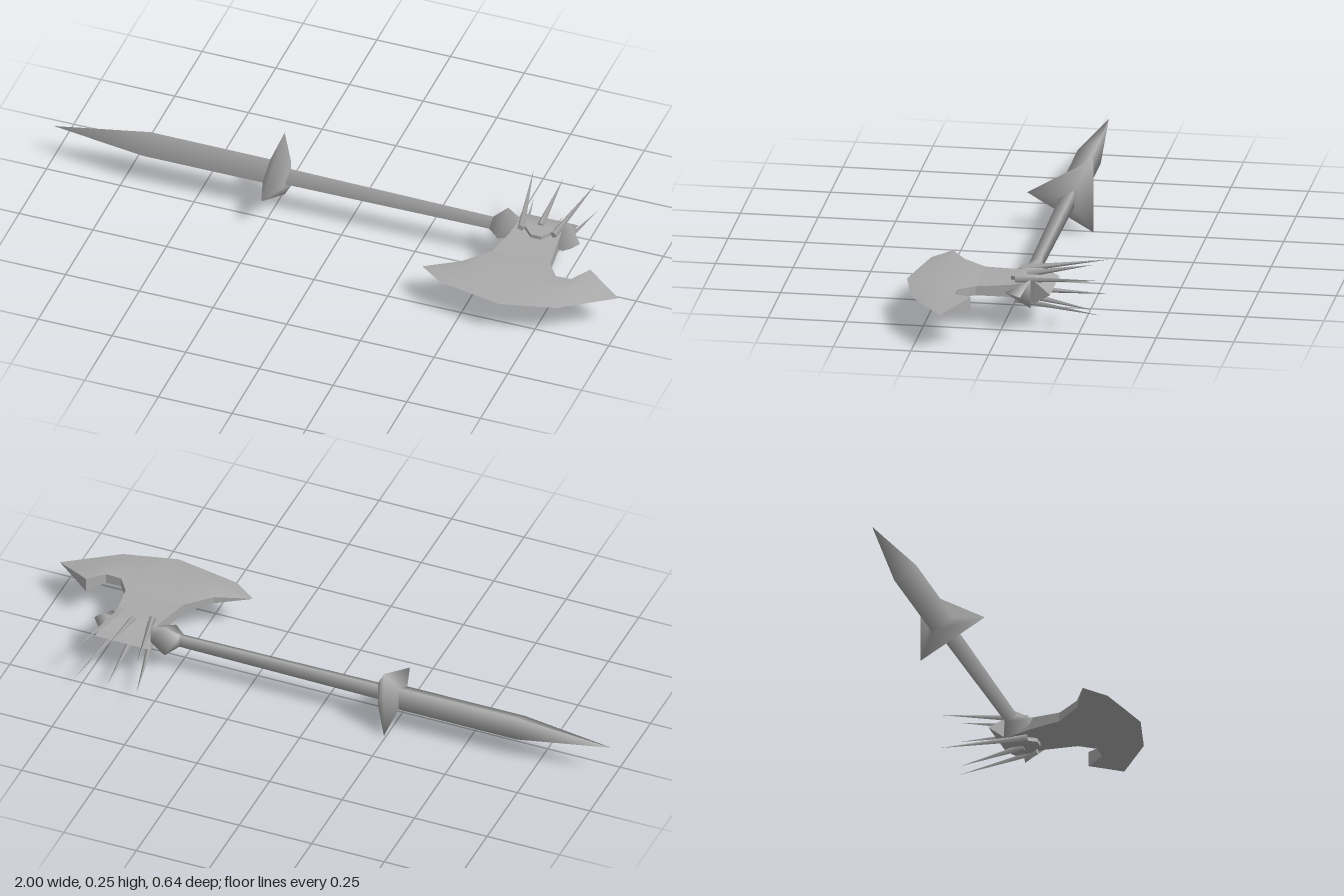
import * as THREE from 'three';

const steel = new THREE.MeshStandardMaterial({ color: 0xaaaaaa, side: THREE.DoubleSide });
steel.name = 'steel';
const CY = 0.125, CZ = -0.067; // shaft axis, running along x

// Three-sided solid around the shaft axis, profile given as [x, radius]
function triangular(name, profile) {
  const pts = profile.map(([x, r]) => new THREE.Vector2(r, x));
  const mesh = new THREE.Mesh(new THREE.LatheGeometry(pts, 3).rotateZ(-Math.PI / 2), steel);
  mesh.name = name;
  mesh.position.set(0, CY, CZ);
  return mesh;
}

// Mirrored plate from a grid of [x, z, half thickness], closed by a rim
function plate(name, rows) {
  const group = new THREE.Group();
  group.name = name;
  const n = rows.length, m = rows[0].length;
  const add = (pos, index, label) => {
    const g = new THREE.BufferGeometry();
    g.setAttribute('position', new THREE.Float32BufferAttribute(pos, 3));
    if (index) g.setIndex(index);
    g.computeVertexNormals();
    const mesh = new THREE.Mesh(g, steel);
    mesh.name = name + label;
    group.add(mesh);
  };
  for (const s of [1, -1]) {
    const pos = [], index = [];
    rows.forEach(row => row.forEach(([x, z, h]) => pos.push(x, CY + s * h, z)));
    for (let i = 0; i < n - 1; i++) {
      for (let j = 0; j < m - 1; j++) {
        const a = i * m + j, b = a + 1, c = a + m, d = c + 1;
        if (s > 0) index.push(a, c, b, b, c, d);
        else index.push(a, b, c, b, d, c);
      }
    }
    add(pos, index, s > 0 ? 'Top' : 'Bottom');
  }
  const loop = [];
  for (let j = 0; j < m - 1; j++) loop.push(rows[0][j]);
  for (let i = 0; i < n - 1; i++) loop.push(rows[i][m - 1]);
  for (let j = m - 1; j > 0; j--) loop.push(rows[n - 1][j]);
  for (let i = n - 1; i > 0; i--) loop.push(rows[i][0]);
  const wall = [];
  loop.forEach((p, k) => {
    const q = loop[(k + 1) % loop.length];
    if (p[2] + q[2] < 1e-6) return;
    const pt = [p[0], CY + p[2], p[1]], pb = [p[0], CY - p[2], p[1]];
    const qt = [q[0], CY + q[2], q[1]], qb = [q[0], CY - q[2], q[1]];
    wall.push(...pt, ...qt, ...pb, ...qt, ...qb, ...pb);
  });
  add(wall, null, 'Rim');
  return group;
}

// Thin spike from base to tip
function spike(base, tip) {
  const a = new THREE.Vector3(...base), b = new THREE.Vector3(...tip);
  const dir = b.clone().sub(a), len = dir.length();
  const mesh = new THREE.Mesh(new THREE.ConeGeometry(0.012, len, 4).translate(0, len / 2, 0), steel);
  mesh.name = 'spike';
  mesh.position.copy(a);
  mesh.quaternion.setFromUnitVectors(new THREE.Vector3(0, 1, 0), dir.normalize());
  return mesh;
}

export function createModel() {
  const model = new THREE.Group();
  model.name = 'spikedAxe';

  // Handle parts along the axis
  model.add(triangular('pommelBlade', [[-1, 0], [-0.68, 0.049], [-0.22, 0.048]]));
  model.add(triangular('guard', [[-0.275, 0.045], [-0.243, 0.1425], [-0.205, 0.055], [-0.2, 0]]));
  model.add(triangular('shaft', [[-0.22, 0.032], [0.6, 0.024]]));
  model.add(triangular('collar', [[0.485, 0.024], [0.53, 0.064], [0.59, 0.03], [0.66, 0.03]]));
  model.add(triangular('endCap', [[0.68, 0.025], [0.745, 0.055], [0.785, 0]]));

  // Crown behind the shaft, narrowing forward
  const row = (x0, x1, z, h) => [[x0, z, h], [(x0 + x1) / 2, z, h], [x1, z, h]];
  model.add(plate('crown', [
    row(0.553, 0.745, -0.157, 0), row(0.575, 0.725, -0.105, 0.036),
    row(0.595, 0.705, -0.06, 0.038), row(0.635, 0.67, -0.02, 0.033),
  ]));

  // Neck and axe blade
  model.add(plate('neck', [
    row(0.572, 0.72, -0.08, 0.028), row(0.564, 0.725, -0.02, 0.02), row(0.543, 0.74, 0.083, 0.015),
  ]));
  model.add(plate('axeBlade', [
    [[0.356, 0.217, 0], [0.468, 0.163, 0.012], [0.543, 0.083, 0.015], [0.645, 0.083, 0.015],
      [0.74, 0.083, 0.015], [0.778, 0.136, 0.015], [0.83, 0.136, 0.017], [0.874, 0.078, 0.025]],
    [[0.356, 0.217, 0], [0.485, 0.205, 0.018], [0.57, 0.2, 0.02], [0.655, 0.2, 0.02],
      [0.73, 0.2, 0.02], [0.79, 0.2, 0.02], [0.855, 0.175, 0.019], [0.935, 0.118, 0.0125]],
    [[0.356, 0.217, 0], [0.436, 0.275, 0], [0.545, 0.297, 0], [0.655, 0.318, 0],
      [0.74, 0.297, 0], [0.83, 0.275, 0], [0.915, 0.216, 0], [0.998, 0.158, 0]],
  ]));

  // Three spikes above and three below
  const spikes = new THREE.Group();
  spikes.name = 'spikes';
  for (const s of [1, -1]) {
    spikes.add(spike([0.595, CY + s * 0.033, -0.04], [0.537, CY + s * 0.058, -0.313]));
    spikes.add(spike([0.65, CY + s * 0.036, -0.07], [0.65, CY + s * 0.076, -0.28]));
    spikes.add(spike([0.705, CY + s * 0.033, -0.04], [0.75, CY + s * 0.058, -0.318]));
  }
  model.add(spikes);
  return model;
}
